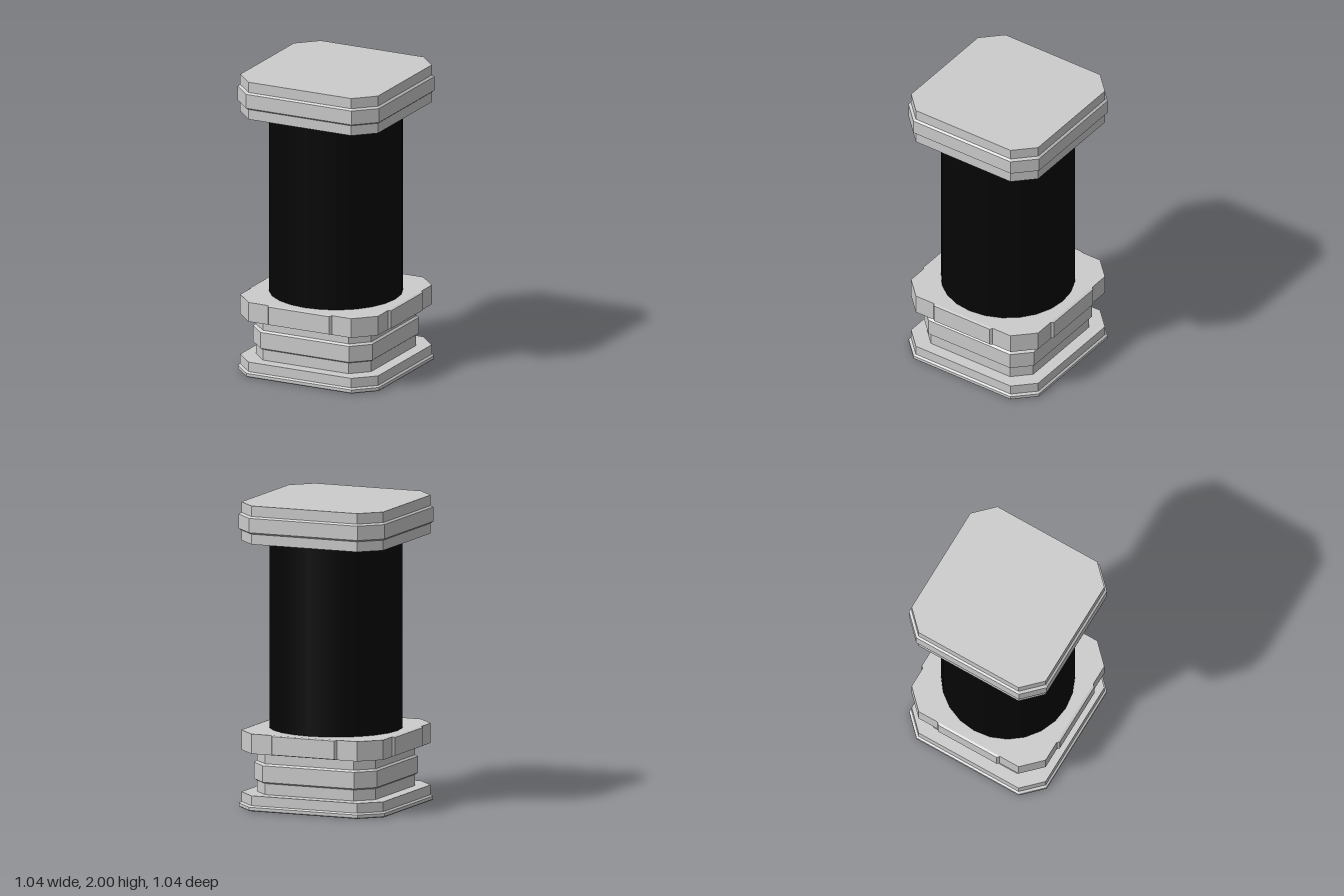
import * as THREE from 'three';

const grey = new THREE.MeshStandardMaterial({ color: 0xcccccc, flatShading: true, side: THREE.DoubleSide });
const black = new THREE.MeshStandardMaterial({ color: 0x050505, side: THREE.DoubleSide });

// Square with cut corners; c is the start of the cut as a share of the half width
const c = 0.745;
const corners = [[c, 1], [1, c], [1, -c], [c, -1], [-c, -1], [-1, -c], [-1, c], [-c, 1]];

// Eight-sided shell from a profile of [half width, height], bottom to top
function cutSquareShell(name, profile) {
  const lathe = new THREE.LatheGeometry(profile.map(([r, y]) => new THREE.Vector2(r, y)), 8);
  const pos = lathe.attributes.position;
  for (let k = 0; k < pos.count; k++) {
    const [r, y] = profile[k % profile.length];
    const [x, z] = corners[Math.floor(k / profile.length) % 8];
    pos.setXYZ(k, x * r, y, z * r);
  }
  const geometry = lathe.toNonIndexed();
  geometry.computeVertexNormals();
  const mesh = new THREE.Mesh(geometry, grey);
  mesh.name = name;
  return mesh;
}

// Raised panel with bevelled edges for one side of the collar
function collarPanel(angle) {
  const geometry = new THREE.BoxGeometry(0.466, 0.13, 0.015);
  const pos = geometry.attributes.position;
  for (let k = 0; k < pos.count; k++) {
    if (pos.getZ(k) > 0) {
      pos.setX(k, Math.sign(pos.getX(k)) * 0.22);
      pos.setY(k, Math.sign(pos.getY(k)) * 0.06);
    }
  }
  geometry.translate(0, 0.44, 0.5105).rotateY(angle);
  geometry.computeVertexNormals();
  const mesh = new THREE.Mesh(geometry, grey);
  mesh.name = 'collarPanel';
  return mesh;
}

export function createModel() {
  const model = new THREE.Group();
  model.name = 'pillar';

  // Hollow base, open underneath, closed by the collar top
  const base = new THREE.Group();
  base.name = 'base';
  base.add(cutSquareShell('baseShell', [
    [0.51, 0], [0.516, 0.006], [0.516, 0.026], [0.503, 0.036], [0.503, 0.1],
    [0.421, 0.1], [0.421, 0.172], [0.435, 0.182], [0.435, 0.29], [0.421, 0.302],
    [0.421, 0.375], [0.503, 0.375], [0.503, 0.505], [0, 0.505],
  ]));
  for (let i = 0; i < 4; i++) base.add(collarPanel(i * Math.PI / 2));
  model.add(base);

  // Round column, open at its ends, stopping just short of the cap
  const column = new THREE.Mesh(new THREE.CylinderGeometry(0.434, 0.434, 1.235, 24, 1, true), black);
  column.name = 'column';
  column.position.y = 1.1175;
  model.add(column);

  // Cap with a raised band
  model.add(cutSquareShell('cap', [
    [0, 1.748], [0.503, 1.748], [0.503, 1.815], [0.517, 1.826], [0.517, 1.92],
    [0.503, 1.931], [0.503, 2], [0, 2],
  ]));

  return model;
}
